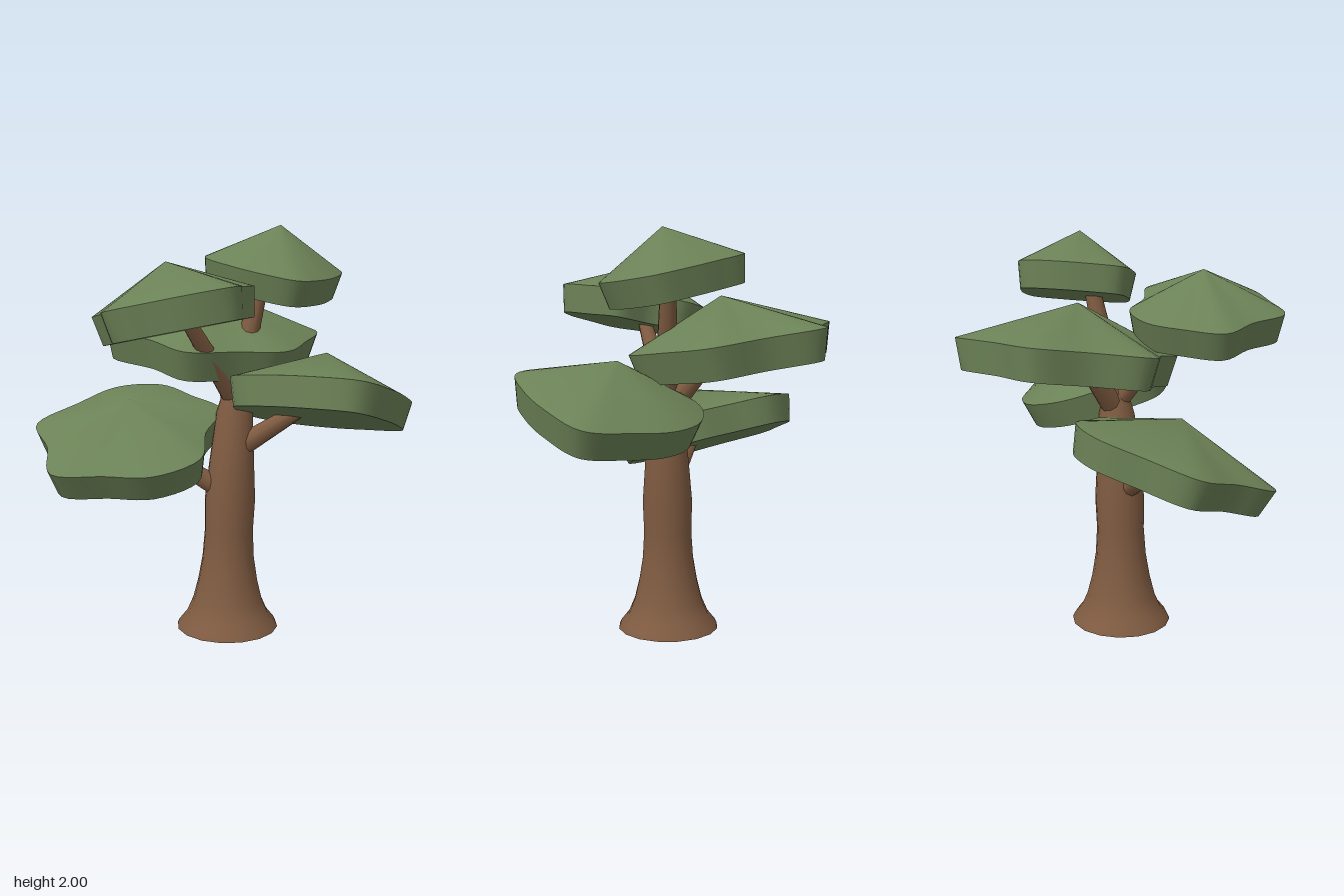
import * as THREE from 'three';
import { toCreasedNormals } from 'three/addons/utils/BufferGeometryUtils.js';

const bark = new THREE.MeshStandardMaterial({ color: 0x7f5b41 });
bark.name = 'bark';
const leaf = new THREE.MeshStandardMaterial({ color: 0x6b8156 });
leaf.name = 'leaf';

// Tilted foliage pad: shallow cone on top, slightly tapered wall, flat underside.
// radii are the lobed rim's reach at equal angles, from +x towards +z.
function makePad(name, centre, slope, peak, depth, radii) {
  const N = 60;
  const c = new THREE.Vector3(...centre);
  const normal = new THREE.Vector3(-slope[0], 1, -slope[1]).normalize();
  const points = radii.map((r, i) => {
    const angle = (i / radii.length) * Math.PI * 2;
    const x = r * Math.cos(angle), z = r * Math.sin(angle);
    return new THREE.Vector3(x, slope[0] * x + slope[1] * z, z).add(c);
  });
  const rim = new THREE.CatmullRomCurve3(points, true).getPoints(N).slice(0, N);
  const bottom = rim.map((p) => p.clone().lerp(c, 0.07).addScaledVector(normal, -depth));
  const apex = c.clone().addScaledVector(normal, peak);
  const base = c.clone().addScaledVector(normal, -depth);
  const index = [];
  for (let i = 0; i < N; i++) {
    const j = (i + 1) % N;
    index.push(2 * N, j, i);
    index.push(i, j, N + i, j, N + j, N + i);
    index.push(2 * N + 1, N + i, N + j);
  }
  const geo = new THREE.BufferGeometry().setFromPoints([...rim, ...bottom, apex, base]);
  geo.setIndex(index);
  const mesh = new THREE.Mesh(toCreasedNormals(geo, 0.7), leaf);
  mesh.name = name;
  return mesh;
}

// Trunk: flared lathe whose axis drifts gently with height
function makeTrunk() {
  const profile = [[0, 0], [0.255, 0], [0.245, 0.02], [0.205, 0.07], [0.175, 0.14], [0.15, 0.24], [0.13, 0.36],
    [0.121, 0.5], [0.126, 0.66], [0.112, 0.84], [0.09, 1.1], [0.045, 1.27], [0, 1.27]]
    .map(([r, y]) => new THREE.Vector2(r, y));
  const geo = new THREE.LatheGeometry(profile, 16);
  const pos = geo.attributes.position;
  for (let i = 0; i < pos.count; i++) {
    const y = pos.getY(i);
    pos.setX(i, pos.getX(i) + 0.012 + 0.03 * y * y);
    pos.setZ(i, pos.getZ(i) + 0.08);
  }
  const mesh = new THREE.Mesh(toCreasedNormals(geo, 0.9), bark);
  mesh.name = 'trunk';
  return mesh;
}

// Tapered branch between two points
function makeBranch(name, from, to, r0, r1) {
  const a = new THREE.Vector3(...from), b = new THREE.Vector3(...to);
  const dir = b.clone().sub(a);
  const mesh = new THREE.Mesh(new THREE.CylinderGeometry(r1, r0, dir.length(), 10), bark);
  mesh.position.copy(a).add(b).multiplyScalar(0.5);
  mesh.quaternion.setFromUnitVectors(new THREE.Vector3(0, 1, 0), dir.normalize());
  mesh.name = name;
  return mesh;
}

export function createModel() {
  const tree = new THREE.Group();
  tree.name = 'tree';
  tree.add(
    makeTrunk(),
    // Branches
    makeBranch('lowerRightBranch', [0, 0.7, 0.08], [-0.36, 0.93, 0.02], 0.055, 0.035),
    makeBranch('lowerLeftBranch', [0.08, 0.94, 0.12], [0.38, 1.14, 0.22], 0.055, 0.035),
    makeBranch('backBranch', [0.05, 1.14, 0.06], [0.03, 1.38, -0.15], 0.06, 0.035),
    makeBranch('upperRightBranch', [0.05, 1.16, 0.08], [-0.22, 1.55, 0.25], 0.055, 0.035),
    makeBranch('topBranch', [0.05, 1.18, 0.08], [0.19, 1.72, 0.04], 0.06, 0.04),
    // Foliage: centre of the rim, slope in x and z, peak height, wall depth, rim radii
    makePad('lowerRightFoliage', [-0.44, 1.02, -0.02], [0.17, -0.3], 0.16, 0.14,
      [0.45, 0.37, 0.47, 0.46, 0.42, 0.5, 0.42, 0.51, 0.435, 0.465, 0.45, 0.4]),
    makePad('lowerLeftFoliage', [0.44, 1.215, 0.26], [-0.19, 0.24], 0.185, 0.14,
      [0.46, 0.4, 0.4, 0.455, 0.4, 0.4, 0.46, 0.42, 0.44, 0.42, 0.39, 0.385]),
    makePad('backFoliage', [0.02, 1.475, -0.22], [-0.03, -0.15], 0.21, 0.15,
      [0.56, 0.48, 0.5, 0.44, 0.51, 0.43, 0.55, 0.455, 0.54, 0.46, 0.56, 0.46]),
    makePad('upperRightFoliage', [-0.31, 1.66, 0.31], [0.16, 0.14], 0.18, 0.14,
      [0.38, 0.335, 0.39, 0.36, 0.34, 0.4, 0.325, 0.39, 0.35, 0.37, 0.36, 0.295]),
    makePad('topFoliage', [0.27, 1.81, 0.01], [-0.1, -0.19], 0.195, 0.13,
      [0.35, 0.31, 0.31, 0.345, 0.3, 0.3, 0.35, 0.305, 0.31, 0.345, 0.29, 0.295]),
  );
  return tree;
}
